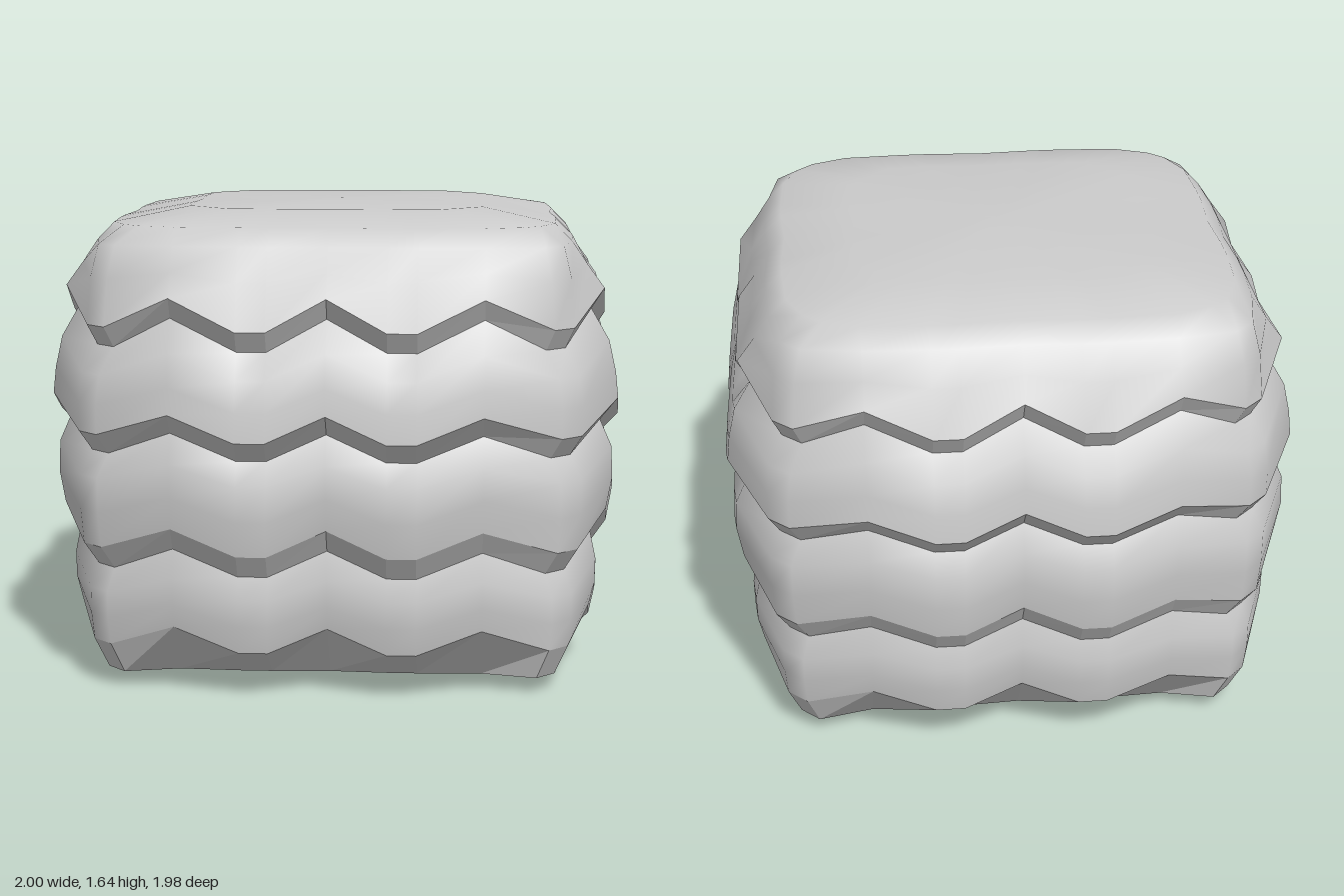
import * as THREE from 'three';

const material = new THREE.MeshStandardMaterial({ color: 0xcccccc });
const flatMaterial = new THREE.MeshStandardMaterial({ color: 0xcccccc, flatShading: true });

// Half of one side of the plan: [along, outward, kind]
const HALF = [[0, 0.985, 'peak'], [0.2, 1, 'valley'], [0.3, 1, 'valley'], [0.52, 0.985, 'peak'], [0.78, 0.85, 'corner']];
const SIDE = [...HALF.slice(1).reverse().map(([u, v, k]) => [-u, v, k]), ...HALF];

// One zigzag ring: heights of its peaks and valleys, scale of its sides and of its corners
function ring([peakY, valleyY, side, corner]) {
  const points = [];
  for (let q = 0; q < 4; q++) {
    for (const [u, v, kind] of SIDE) {
      const isCorner = kind === 'corner';
      const a = u * (isCorner ? corner : Math.min(1, side / 0.74));
      const b = v * (isCorner ? corner : side);
      const y = kind === 'peak' ? peakY : valleyY;
      const [x, z] = [[a, b], [b, -a], [-a, -b], [-b, a]][q];
      points.push([x, y, z * 0.99]);
    }
  }
  return points;
}

// Skin between rings listed from top to bottom
function loft(name, levels, mat = material) {
  const rings = levels.map(ring);
  const n = rings[0].length;
  const index = [];
  for (let r = 0; r < rings.length - 1; r++) {
    for (let i = 0; i < n; i++) {
      const a0 = r * n + i, a1 = r * n + (i + 1) % n;
      index.push(a0, a0 + n, a1, a1, a0 + n, a1 + n);
    }
  }
  const geometry = new THREE.BufferGeometry();
  geometry.setAttribute('position', new THREE.Float32BufferAttribute(rings.flat(2), 3));
  geometry.setIndex(index);
  geometry.computeVertexNormals();
  const mesh = new THREE.Mesh(geometry, mat);
  mesh.name = name;
  return mesh;
}

// Bulging layers from top to bottom; the last ring of each is its lip
const LAYERS = [
  [[1.64, 1.64, 0, 0], [1.635, 1.635, 0.52, 0.54], [1.59, 1.59, 0.77, 0.83],
    [1.53, 1.53, 0.83, 0.92], [1.45, 1.42, 0.885, 0.95], [1.37, 1.26, 0.945, 0.965]],
  [[1.3, 1.19, 0.9, 0.93], [1.19, 1.1, 0.965, 0.985], [1.08, 1.0, 0.99, 1], [0.99, 0.9, 1, 1]],
  [[0.92, 0.83, 0.935, 0.955], [0.82, 0.75, 0.98, 1], [0.71, 0.63, 0.985, 1], [0.6, 0.51, 0.965, 0.99]],
  [[0.52, 0.43, 0.91, 0.94], [0.42, 0.35, 0.932, 0.97], [0.33, 0.26, 0.93, 0.97], [0.25, 0.165, 0.91, 0.96]],
];

export function createModel() {
  const group = new THREE.Group();
  group.name = 'layeredBlock';
  const base = [0.055, 0.055, 0.74, 0.91];

  LAYERS.forEach((levels, i) => {
    group.add(loft(`layer${i + 1}`, levels));
    // Underside of the lip, running in to the layer below or to the base
    const next = LAYERS[i + 1] ? LAYERS[i + 1][0] : base;
    group.add(loft(`lipUnderside${i + 1}`, [levels[levels.length - 1], next], flatMaterial));
  });

  // Shallow bottom
  group.add(loft('bottom', [base, [0, 0, 0, 0]]));
  return group;
}
